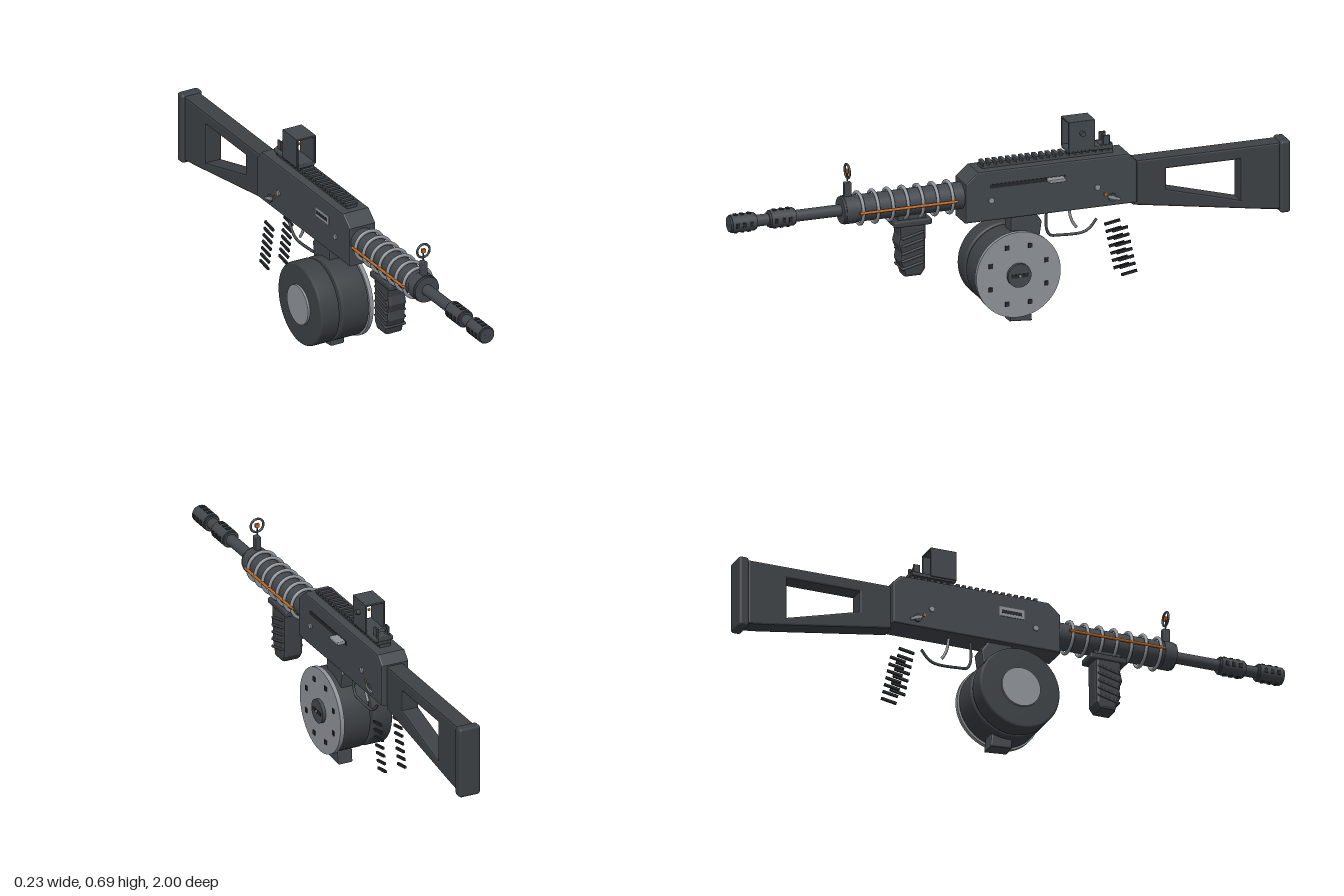
import * as THREE from 'three';
import { RoundedBoxGeometry } from 'three/addons/geometries/RoundedBoxGeometry.js';

export function createModel() {
  const root = new THREE.Group();
  root.name = 'model';
  const body = new THREE.Group();
  body.name = 'body';
  body.position.x = 0.03; // long axis sits right of centre, the drums balance it
  root.add(body);

  const mat = (name, color) => {
    const m = new THREE.MeshStandardMaterial({ color });
    m.name = name;
    return m;
  };
  const metal = mat('gunmetal', 0x43484d);
  const polymer = mat('polymer', 0x3d4145);
  const black = mat('black', 0x25282b);
  const steel = mat('steel', 0x8f949b);
  const orange = mat('orange', 0xc46a1c);
  const AXIS = 0.468;

  const add = (name, geo, m, x = 0, y = 0, z = 0) => {
    const mesh = new THREE.Mesh(geo, m);
    mesh.name = name;
    mesh.position.set(x, y, z);
    body.add(mesh);
    return mesh;
  };
  const box = (name, m, w, h, d, x, y, z) => add(name, new THREE.BoxGeometry(w, h, d), m, x, y, z);
  const round = (name, m, w, h, d, x, y, z, r = 0.006) =>
    add(name, new RoundedBoxGeometry(w, h, d, 2, r), m, x, y, z);
  // cylinder along z between z0 and z1
  const tubeZ = (name, m, r, z0, z1, y = AXIS, n = 32) =>
    add(name, new THREE.CylinderGeometry(r, r, z1 - z0, n).rotateX(Math.PI / 2), m, 0, y, (z0 + z1) / 2);
  // cylinder along x between x0 and x1
  const tubeX = (name, m, r, x0, x1, y, z, n = 24) =>
    add(name, new THREE.CylinderGeometry(r, r, x1 - x0, n).rotateZ(-Math.PI / 2), m, (x0 + x1) / 2, y, z);
  // side profile given as [z, y] points, extruded across x
  const side = (name, m, pts, width, bevel, hole) => {
    const s = new THREE.Shape(pts.map(p => new THREE.Vector2(...p)));
    if (hole) s.holes.push(new THREE.Path(hole.map(p => new THREE.Vector2(...p))));
    const depth = width - 2 * bevel;
    const g = new THREE.ExtrudeGeometry(s, {
      depth, bevelEnabled: bevel > 0, bevelSize: bevel, bevelThickness: bevel, bevelOffset: -bevel, bevelSegments: 2,
    });
    return add(name, g.translate(0, 0, -depth / 2).rotateY(-Math.PI / 2), m);
  };

  // Barrel and two slotted muzzle sleeves
  tubeZ('barrel', metal, 0.02, 0.55, 0.99);
  for (const [z0, z1] of [[0.905, 1], [0.765, 0.86]]) {
    tubeZ('muzzleSleeve', metal, 0.031, z0 + 0.006, z1 - 0.006);
    tubeZ('muzzleCore', metal, 0.027, z0, z1);
    for (let i = 0; i < 3; i++)
      for (let k = 0; k < 4; k++) {
        const a = k * Math.PI / 2;
        const slot = box('muzzleSlot', black, 0.016, 0.004, 0.012,
          -Math.sin(a) * 0.031, AXIS + Math.cos(a) * 0.031, z0 + 0.024 + i * 0.024);
        slot.rotation.z = a;
      }
  }
  add('bore', new THREE.CircleGeometry(0.013, 24), black, 0, AXIS, 1.0);

  // Handguard with cooling rings and side rods
  tubeZ('handguard', metal, 0.046, 0.16, 0.6);
  tubeZ('handguardCollar', metal, 0.049, 0.555, 0.592);
  for (let i = 0; i < 7; i++)
    add('coolingRing', new THREE.TorusGeometry(0.054, 0.006, 10, 40), steel, 0, AXIS, 0.215 + i * 0.0535);
  for (const s of [-1, 1]) {
    const rod = tubeZ('sideRod', orange, 0.005, 0.2, 0.55, AXIS, 12);
    rod.position.x = s * 0.057;
  }

  // Front sight
  round('frontSightPost', metal, 0.019, 0.06, 0.026, 0, 0.535, 0.575, 0.003);
  add('frontSightRing', new THREE.TorusGeometry(0.024, 0.004, 10, 32), metal, 0, 0.604, 0.575);
  tubeY('frontSightNeedle', 0.0025, 0.57, 0.604, 0.575);
  box('frontSightBead', orange, 0.014, 0.014, 0.008, 0, 0.604, 0.575);
  function tubeY(name, r, y0, y1, z) {
    add(name, new THREE.CylinderGeometry(r, r, y1 - y0, 10), metal, 0, (y0 + y1) / 2, z);
  }

  // Receiver
  side('receiver', metal, [[0.17, 0.382], [0.17, 0.522], [0.125, 0.56], [-0.415, 0.56], [-0.445, 0.53], [-0.445, 0.382]], 0.103, 0.006);
  box('boltTrack', black, 0.004, 0.014, 0.27, 0.0515, 0.505, -0.052);
  round('chargingHandle', steel, 0.034, 0.012, 0.06, 0.065, 0.505, -0.15, 0.003);
  box('ejectionPort', steel, 0.005, 0.034, 0.09, -0.0515, 0.495, -0.01);
  box('ejectionSlot', black, 0.004, 0.012, 0.074, -0.053, 0.495, -0.01);
  for (const s of [-1, 1]) {
    for (const z of [0.078, -0.302]) tubeX('receiverPin', steel, 0.01, s * 0.052 - 0.004, s * 0.052 + 0.004, 0.455, z, 16);
    tubeX('selectorPivot', metal, 0.014, s * 0.052 - 0.005, s * 0.052 + 0.005, 0.413, -0.355, 16);
    const lever = box('selectorLever', steel, 0.005, 0.009, 0.045, s * 0.056, 0.412, -0.36);
    lever.rotation.x = -0.35;
    box('selectorMark', orange, 0.004, 0.009, 0.009, s * 0.0525, 0.428, -0.33);
  }

  // Top rail
  box('rail', metal, 0.04, 0.012, 0.47, 0, 0.565, -0.135);
  for (let i = 0; i < 20; i++) box('railTooth', metal, 0.048, 0.012, 0.013, 0, 0.574, 0.09 - i * 0.0237);

  // Open box sight
  round('sightBase', metal, 0.068, 0.014, 0.16, 0, 0.586, -0.285, 0.003);
  for (const s of [-1, 1]) round('sightWall', metal, 0.007, 0.105, 0.095, s * 0.034, 0.638, -0.252, 0.002);
  round('sightRoof', metal, 0.075, 0.007, 0.095, 0, 0.688, -0.252, 0.002);
  box('sightDot', orange, 0.008, 0.008, 0.004, 0, 0.648, -0.252);
  tubeX('sightKnob', metal, 0.009, 0.036, 0.05, 0.648, -0.252, 16);

  // Rear sight
  round('rearSightBlock', metal, 0.046, 0.016, 0.045, 0, 0.588, -0.345, 0.003);
  for (const s of [-1, 1]) round('rearSightEar', metal, 0.007, 0.04, 0.024, s * 0.021, 0.605, -0.345, 0.002);
  add('rearSightRing', new THREE.TorusGeometry(0.018, 0.004, 8, 28), metal, 0, 0.604, -0.345);

  // Skeleton stock and butt pad
  side('stock', polymer, [[-0.44, 0.525], [-0.965, 0.525], [-0.965, 0.287], [-0.9, 0.295], [-0.44, 0.367]], 0.064, 0.007,
    [[-0.557, 0.482], [-0.557, 0.41], [-0.822, 0.338], [-0.822, 0.482]]);
  round('buttPad', polymer, 0.08, 0.256, 0.037, 0, 0.403, -0.9815, 0.01);

  // Forward grip with finger ridges
  round('gripMount', polymer, 0.08, 0.022, 0.135, 0, 0.403, 0.352, 0.006);
  box('gripBlock', metal, 0.05, 0.04, 0.1, 0, 0.42, 0.352);
  side('foreGrip', polymer, [[0.402, 0.4], [0.398, 0.36], [0.405, 0.33], [0.394, 0.3], [0.399, 0.27], [0.386, 0.24],
    [0.378, 0.212], [0.322, 0.212], [0.306, 0.235], [0.304, 0.4]], 0.073, 0.012);
  for (let i = 0; i < 5; i++) {
    const ridge = round('gripRidge', polymer, 0.081, 0.009, 0.082, 0, 0.36 - i * 0.027, 0.353, 0.004);
    ridge.rotation.x = 0.25;
  }

  // Magazine column
  side('magazineNeck', metal, [[0.002, 0.39], [-0.085, 0.39], [-0.112, 0.35], [-0.1, 0.27], [-0.02, 0.25], [0, 0.3]], 0.062, 0.006);
  side('magazineFoot', metal, [[0.004, 0.08], [-0.07, 0.08], [-0.078, 0], [0.002, 0.006]], 0.057, 0.006);

  // Twin drums, lying along x
  const DY = 0.183, DZ = -0.015;
  const drum = (name, x0, x1, r) => {
    const h = x1 - x0, b = 0.008;
    const pts = [[0.001, 0], [r - b, 0], [r - b * 0.3, b * 0.3], [r, b], [r, h - b], [r - b * 0.3, h - b * 0.3], [r - b, h], [0.001, h]];
    add(name, new THREE.LatheGeometry(pts.map(p => new THREE.Vector2(...p)), 56).rotateZ(-Math.PI / 2), polymer, x0, DY, DZ);
  };
  drum('mainDrum', -0.055, 0.05, 0.146);
  drum('secondDrum', -0.137, -0.063, 0.146);
  tubeX('drumCoupling', metal, 0.1, -0.066, -0.05, DY, DZ, 40);
  tubeX('drumPlate', steel, 0.151, 0.048, 0.063, DY, DZ, 56);
  tubeX('drumHub', metal, 0.042, 0.06, 0.075, DY, DZ, 32);
  box('hubKey', black, 0.004, 0.012, 0.06, 0.0755, DY, DZ);
  tubeX('hubKnob', steel, 0.005, 0.075, 0.082, DY, DZ, 12);
  tubeX('rearDisc', steel, 0.07, -0.145, -0.135, DY, DZ, 40);
  for (let i = 0; i < 8; i++) {
    const a = (i + 0.5) * Math.PI / 4;
    box('drumBolt', black, 0.006, 0.016, 0.014, 0.0635, DY + 0.108 * Math.sin(a), DZ + 0.108 * Math.cos(a));
  }

  // Trigger and guard
  const path = pts => new THREE.CatmullRomCurve3(pts.map(([z, y]) => new THREE.Vector3(0, y, z)), false, 'centripetal');
  add('triggerGuard', new THREE.TubeGeometry(path([[-0.138, 0.385], [-0.139, 0.31], [-0.152, 0.287], [-0.18, 0.283],
    [-0.27, 0.283], [-0.295, 0.297], [-0.318, 0.325]]), 40, 0.005, 8), metal);
  add('trigger', new THREE.TubeGeometry(path([[-0.218, 0.385], [-0.224, 0.345], [-0.234, 0.32], [-0.246, 0.303]]), 16, 0.005, 8), steel);

  // Two ladders of slanted grip slats
  for (const s of [-1, 1])
    for (let i = 0; i < 7; i++) {
      const slat = box('gripSlat', black, 0.007, 0.009, 0.056, s * 0.037, 0.291 - i * 0.0265, -0.388 - i * 0.0055);
      slat.rotation.x = 0.17;
    }

  return root;
}
